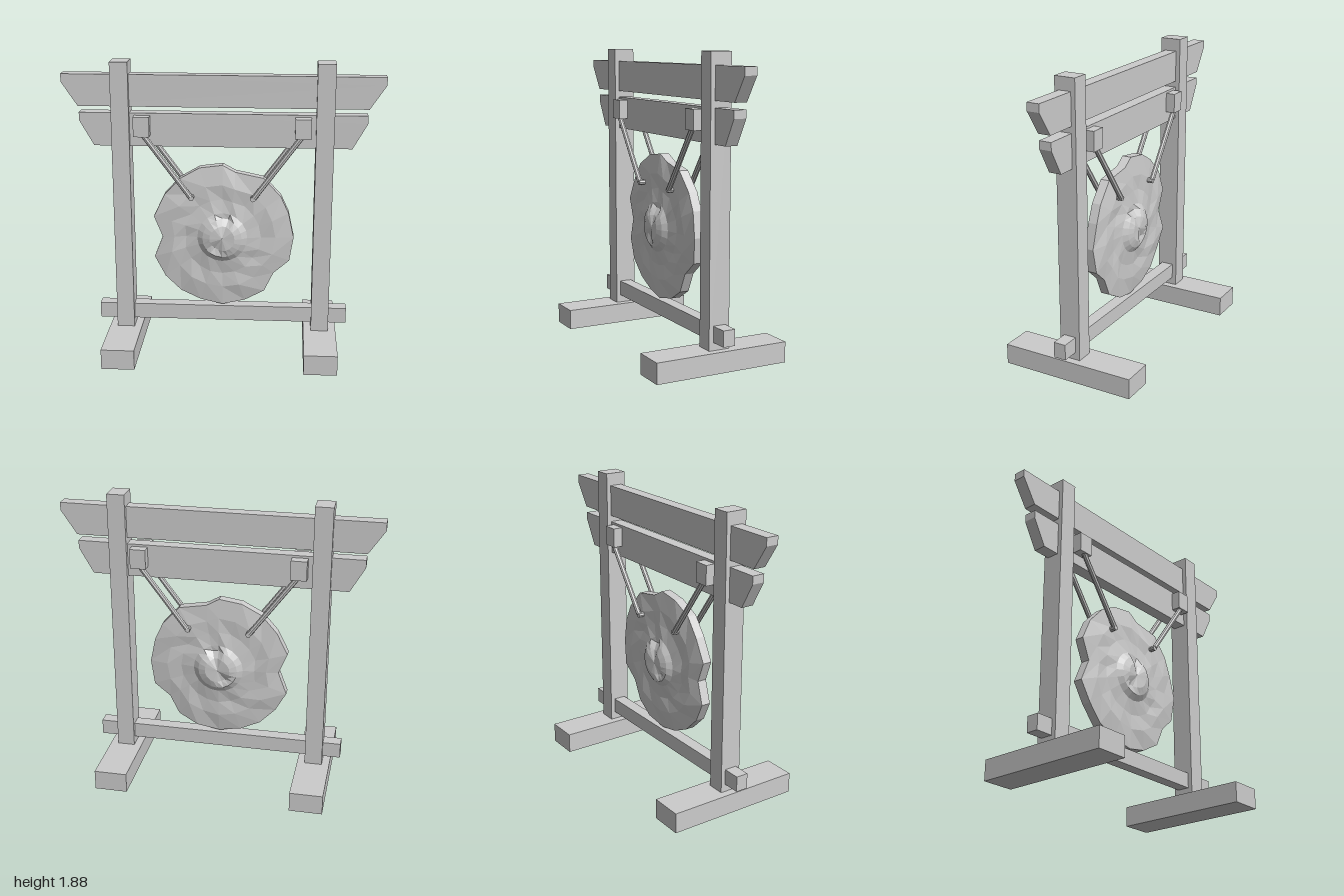
import * as THREE from 'three';

const mat = new THREE.MeshStandardMaterial({ color: 0xcccccc, flatShading: true });

function add(parent, name, geometry, x = 0, y = 0, z = 0) {
  const mesh = new THREE.Mesh(geometry, mat);
  mesh.name = name;
  mesh.position.set(x, y, z);
  parent.add(mesh);
  return mesh;
}

// Horizontal beam with a short upright end above a slanted undercut
function beamGeometry(top, bottom, wide, narrow) {
  const shape = new THREE.Shape();
  [[-narrow, bottom], [narrow, bottom], [wide, top - 0.05], [wide, top], [-wide, top], [-wide, top - 0.05]]
    .forEach(([x, y], i) => (i ? shape.lineTo(x, y) : shape.moveTo(x, y)));
  shape.closePath();
  return new THREE.ExtrudeGeometry(shape, { depth: 0.08, bevelEnabled: false }).translate(0, 0, -0.04);
}

// Round rod between two points
function rod(parent, name, a, b, radius) {
  const from = new THREE.Vector3(...a), to = new THREE.Vector3(...b);
  const dir = to.clone().sub(from);
  const mesh = add(parent, name, new THREE.CylinderGeometry(radius, radius, dir.length(), 8));
  mesh.position.copy(from).add(to).multiplyScalar(0.5);
  mesh.quaternion.setFromUnitVectors(new THREE.Vector3(0, 1, 0), dir.normalize());
}

// Battered gong: an uneven outline blended into a round central boss, on both faces
function gongGeometry() {
  const outline = [
    [0, 0.47], [-0.145, 0.45], [-0.27, 0.38], [-0.37, 0.27], [-0.44, 0.125],
    [-0.385, -0.01], [-0.44, -0.15], [-0.37, -0.28], [-0.27, -0.38], [-0.145, -0.44],
    [0, -0.47], [0.145, -0.44], [0.27, -0.37], [0.33, -0.245], [0.43, -0.16],
    [0.455, 0], [0.42, 0.16], [0.37, 0.27], [0.26, 0.39], [0.08, 0.425]];
  const n = outline.length;
  // radius, depth, share of the uneven outline
  const half = [[0, 0.095, 0], [0.08, 0.1, 0], [0.125, 0.085, 0], [0.16, 0.06, 0],
    [0.25, 0.045, 0.4], [0.345, 0.047, 0.6], [0.47, 0.03, 1]];
  const rings = [...half, ...half.slice().reverse().map(([r, z, k]) => [r, -z, k])];
  const positions = [], index = [];
  rings.forEach(([r, z, k]) => outline.forEach(([ox, oy], i) => {
    const a = Math.PI / 2 + (i / n) * Math.PI * 2;
    const s = (r / 0.47) * k;
    const x = Math.cos(a) * r * (1 - k) + ox * s;
    const y = Math.sin(a) * r * (1 - k) + oy * s;
    // Dents above and below the middle of the boss, and a slight ripple on the plate
    const dent = 0.05 * Math.exp(-((x - 0.02) ** 2 + (y - 0.11) ** 2) / 0.0018)
      + 0.04 * Math.exp(-((x + 0.03) ** 2 + (y + 0.05) ** 2) / 0.0012);
    const ripple = r > 0.2 ? 0.005 * Math.sin(i * 2.4 + r * 20) : 0;
    positions.push(x, y, z - Math.sign(z) * dent + ripple);
  }));
  for (let j = 0; j < rings.length - 1; j++) {
    for (let i = 0; i < n; i++) {
      const a = j * n + i, b = j * n + (i + 1) % n, c = a + n, d = b + n;
      if (j > 0) index.push(a, d, b);
      if (j < rings.length - 2) index.push(a, c, d);
      else index.push(a, c, b);
    }
  }
  // The last ring is a single point, so its second triangles are dropped
  const geometry = new THREE.BufferGeometry();
  geometry.setAttribute('position', new THREE.Float32BufferAttribute(positions, 3));
  geometry.setIndex(index.slice(0, index.length - 2 * n * 3));
  const last = (rings.length - 2) * n, tip = (rings.length - 1) * n;
  const closed = Array.from(geometry.index.array);
  for (let i = 0; i < n; i++) closed.push(last + i, tip, last + (i + 1) % n);
  geometry.setIndex(closed);
  geometry.computeVertexNormals();
  return geometry;
}

export function createModel() {
  const model = new THREE.Group();
  model.name = 'gongStand';

  add(model, 'topBeam', beamGeometry(1.8, 1.6, 1, 0.9));
  add(model, 'lowerBeam', beamGeometry(1.56, 1.35, 0.895, 0.805));
  add(model, 'bottomRail', new THREE.BoxGeometry(1.61, 0.1, 0.08), 0, 0.23, 0);

  for (const [side, s] of [['left', 1], ['right', -1]]) {
    add(model, side + 'Foot', new THREE.BoxGeometry(0.21, 0.13, 0.88), s * 0.635, 0.065, 0);
    add(model, side + 'Post', new THREE.BoxGeometry(0.112, 1.75, 0.136), s * 0.635, 1.005, 0);
    add(model, side + 'RopeBlock', new THREE.BoxGeometry(0.1, 0.125, 0.2), s * 0.5, 1.483, 0);

    // Rope hangs down both faces and passes through the gong
    const rope = new THREE.Group();
    rope.name = side + 'Rope';
    model.add(rope);
    for (const z of [0.075, -0.075]) {
      rod(rope, 'ropeLength', [s * 0.5, 1.44, z], [s * 0.2, 1.03, z], 0.017);
    }
    rod(rope, 'ropeThroughGong', [s * 0.195, 1.025, 0.085], [s * 0.195, 1.025, -0.085], 0.017);
  }

  add(model, 'gong', gongGeometry(), 0, 0.76, 0);
  return model;
}
